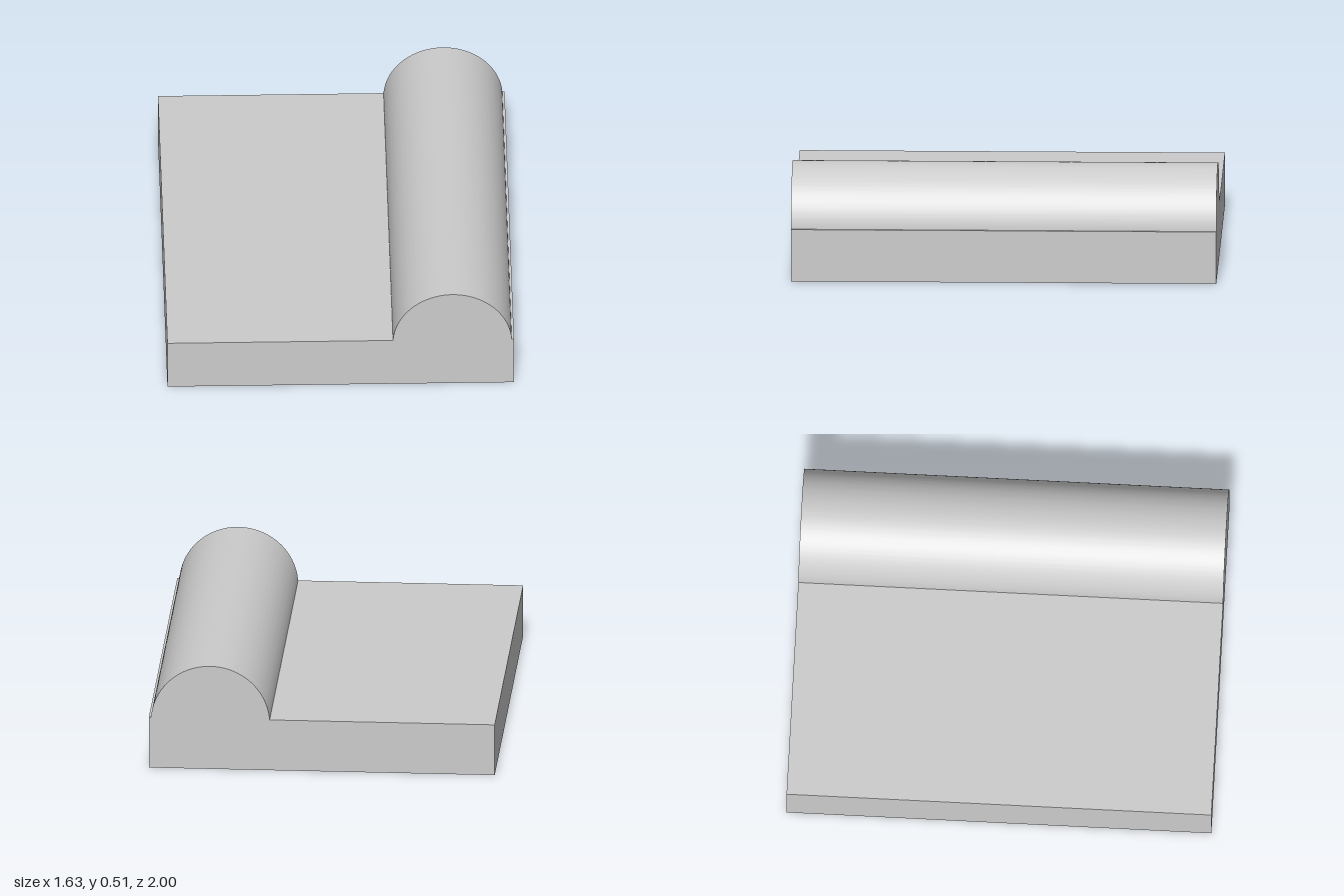
import * as THREE from 'three';
import { toCreasedNormals } from 'three/addons/utils/BufferGeometryUtils.js';

const WIDTH = 1.63, HEIGHT = 0.25, DEPTH = 2;

export function createModel() {
  const group = new THREE.Group();
  const material = new THREE.MeshStandardMaterial({ color: 0xcccccc });

  // Flat rectangular slab
  const slab = new THREE.Mesh(new THREE.BoxGeometry(WIDTH, HEIGHT, DEPTH), material);
  slab.name = 'baseSlab';
  slab.position.y = HEIGHT / 2;
  group.add(slab);

  // Rounded ridge along one edge: a circle cut off at the slab's top
  const radius = 0.28, centreX = 0.525, centreY = 0.23;
  const start = Math.asin((HEIGHT - centreY) / radius);
  const profile = new THREE.Shape();
  profile.absarc(centreX, centreY, radius, start, Math.PI - start, false);
  profile.closePath();
  const ridgeGeometry = new THREE.ExtrudeGeometry(profile, {
    depth: DEPTH, bevelEnabled: false, curveSegments: 48,
  });
  ridgeGeometry.translate(0, 0, -DEPTH / 2);
  const ridge = new THREE.Mesh(toCreasedNormals(ridgeGeometry, 0.5), material);
  ridge.name = 'roundedRidge';
  group.add(ridge);

  return group;
}
